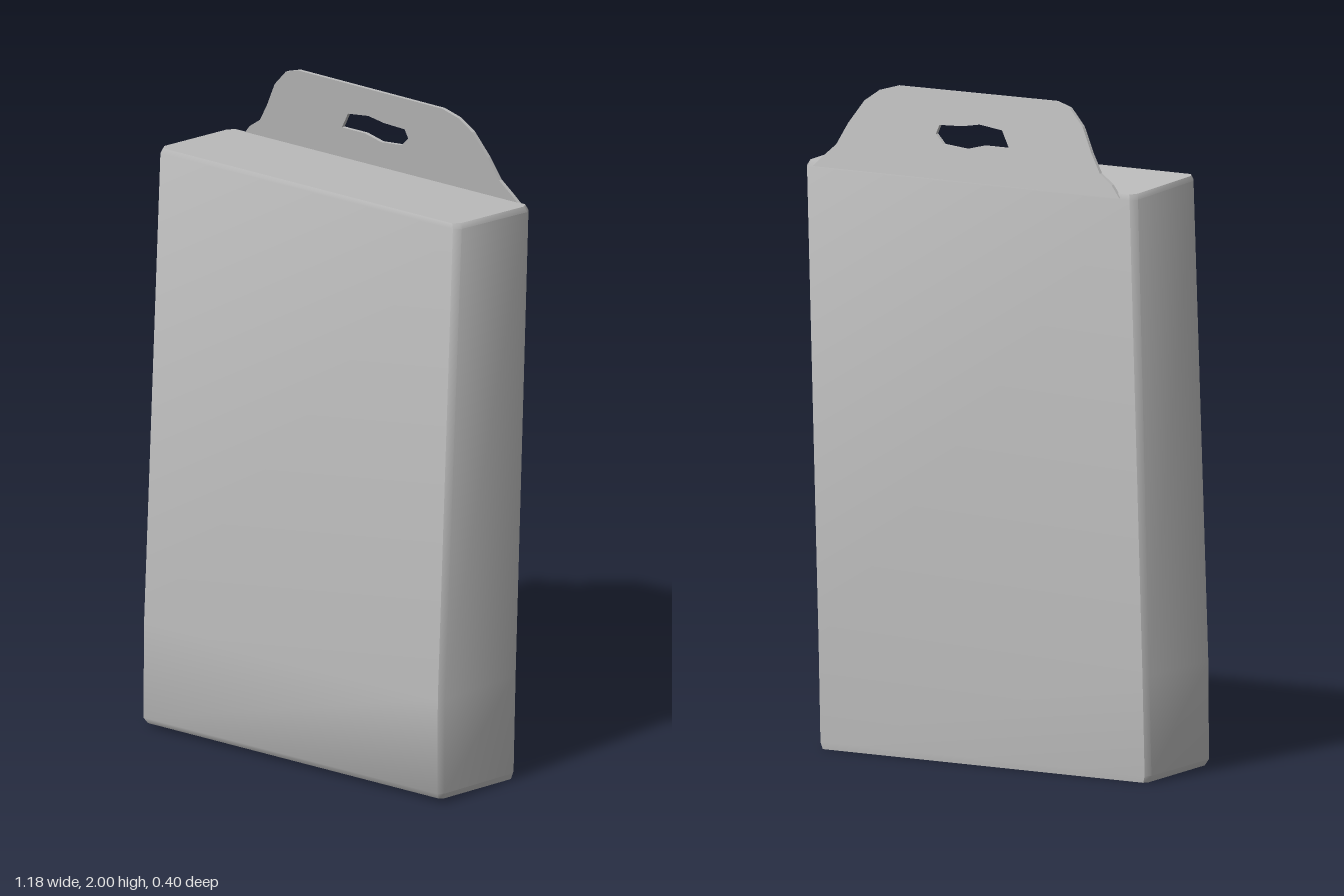
import * as THREE from 'three';
import { toCreasedNormals } from 'three/addons/utils/BufferGeometryUtils.js';

// Chamfered rectangular cross-section; yF and yB are the heights at front and back
function ring({ l, r, f, b, yF, yB, c }) {
  const pts = [
    [l + c, f], [r - c, f], [r, f - c * 1.5], [r, b + c * 1.5],
    [r - c, b], [l + c, b], [l, b + c * 1.5], [l, f - c * 1.5],
  ];
  return pts.map(([x, z]) => [x, yB + (yF - yB) * (z - b) / (f - b), z]);
}

// Skin a stack of rings (bottom to top) and close both ends
function loft(rings) {
  const n = rings[0].length;
  const index = [];
  for (let k = 0; k < rings.length - 1; k++) {
    for (let i = 0; i < n; i++) {
      const a = k * n + i, b = k * n + (i + 1) % n;
      index.push(a, b, b + n, a, b + n, a + n);
    }
  }
  const top = (rings.length - 1) * n;
  for (let i = 1; i < n - 1; i++) {
    index.push(0, i + 1, i);
    index.push(top, top + i, top + i + 1);
  }
  const geo = new THREE.BufferGeometry();
  geo.setAttribute('position', new THREE.Float32BufferAttribute(rings.flat(2), 3));
  geo.setIndex(index);
  return toCreasedNormals(geo, 0.6);
}

export function createModel() {
  const group = new THREE.Group();
  const grey = new THREE.MeshStandardMaterial({ color: 0xbcbcbc });
  grey.name = 'light grey';

  // Tall carton leaning slightly backwards
  const body = new THREE.Mesh(loft([
    ring({ l: -0.585, r: 0.565, f: 0.185, b: -0.14, yF: 0.012, yB: 0, c: 0.01 }),
    ring({ l: -0.594, r: 0.573, f: 0.197, b: -0.143, yF: 0.03, yB: 0.02, c: 0.012 }),
    ring({ l: -0.591, r: 0.575, f: 0.198, b: -0.15, yF: 0.32, yB: 0.32, c: 0.012 }),
    ring({ l: -0.579, r: 0.588, f: 0.142, b: -0.196, yF: 1.755, yB: 1.735, c: 0.015 }),
    ring({ l: -0.574, r: 0.58, f: 0.136, b: -0.19, yF: 1.77, yB: 1.752, c: 0.015 }),
  ]), grey);
  body.name = 'carton';
  group.add(body);

  // Flat carry tab with a hand hole, tilted forwards from the back edge
  const toPoints = (list) => list.map(([x, y]) => new THREE.Vector2(x, y));
  const outline = new THREE.Shape(toPoints([
    [-0.53, 1.74], [0.55, 1.74], [0.52, 1.77], [0.475, 1.81], [0.44, 1.875], [0.39, 1.945],
    [0.34, 1.98], [0.28, 1.997], [-0.28, 2], [-0.33, 1.985], [-0.38, 1.935],
    [-0.42, 1.86], [-0.455, 1.805], [-0.5, 1.775],
  ]));
  outline.holes.push(new THREE.Path(toPoints([
    [-0.13, 1.85], [-0.1, 1.9], [-0.02, 1.91], [0.04, 1.9], [0.12, 1.897],
    [0.13, 1.87], [0.1, 1.842], [0.02, 1.835], [-0.04, 1.85],
  ])));
  const tabGeo = new THREE.ExtrudeGeometry(outline, { depth: 0.012, bevelEnabled: false });
  const pos = tabGeo.attributes.position;
  for (let i = 0; i < pos.count; i++) {
    pos.setZ(i, pos.getZ(i) - 0.2 + (pos.getY(i) - 1.74) * 0.16);
  }
  tabGeo.computeVertexNormals();
  const tab = new THREE.Mesh(tabGeo, grey);
  tab.name = 'carryTab';
  group.add(tab);

  return group;
}
